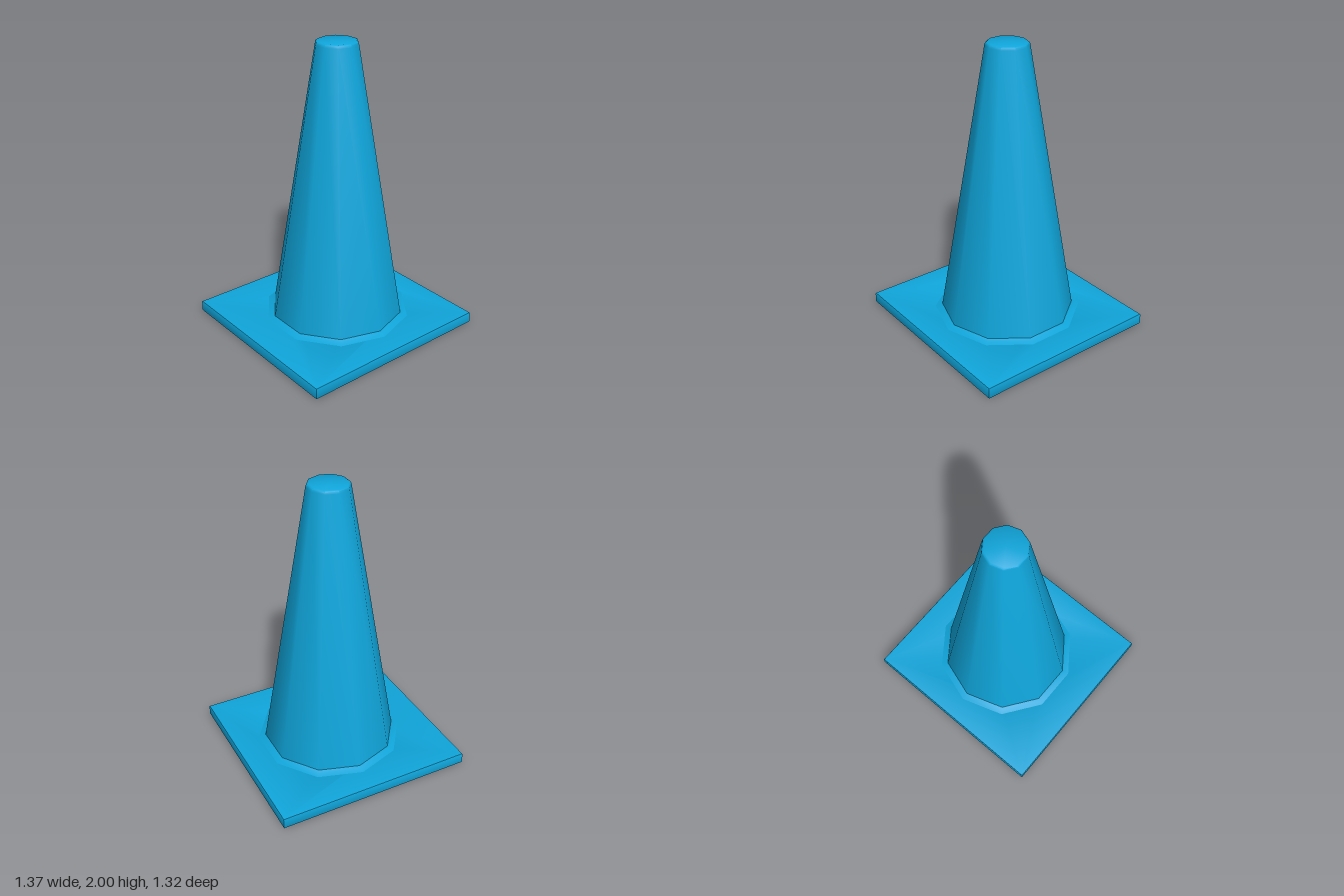
import * as THREE from 'three';
import { toCreasedNormals } from 'three/addons/utils/BufferGeometryUtils.js';

const SIDES = 10;        // cone facets
const CONE_X = 0.02;     // cone sits slightly off the plate centre
const HOLE_R = 0.41;     // opening under the plate
const PLATE_H = 0.08;

export function createModel() {
  const group = new THREE.Group();
  group.name = 'trafficCone';
  const material = new THREE.MeshStandardMaterial({ color: 0x0fa5da });

  const add = (name, geometry, x = 0) => {
    const mesh = new THREE.Mesh(geometry, material);
    mesh.name = name;
    mesh.position.x = x;
    group.add(mesh);
  };
  // ten-sided turned surface, smooth around the sides and sharp at the caps
  const turned = (points) => toCreasedNormals(
    new THREE.LatheGeometry(points.map(([r, y]) => new THREE.Vector2(r, y)), SIDES), 0.75);

  // base plate with a ten-sided opening and slightly softened edges
  const w = 0.685, d = 0.66, bevel = 0.008;
  const outline = new THREE.Shape([[-w, -d], [w, -d], [w, d], [-w, d]]
    .map(([x, y]) => new THREE.Vector2(x, y)));
  const hole = [];
  for (let i = 0; i < SIDES; i++) {
    const a = Math.PI / 2 - (i / SIDES) * Math.PI * 2;
    hole.push(new THREE.Vector2(CONE_X + HOLE_R * Math.cos(a), HOLE_R * Math.sin(a)));
  }
  outline.holes.push(new THREE.Path(hole));
  const plate = new THREE.ExtrudeGeometry(outline, {
    depth: PLATE_H - 2 * bevel, bevelThickness: bevel,
    bevelSize: bevel, bevelOffset: -bevel, bevelSegments: 2,
  });
  plate.translate(0, 0, bevel);
  plate.rotateX(-Math.PI / 2);
  add('basePlate', toCreasedNormals(plate, 0.75));

  // outer cone with a small flare at the foot and a rounded rim on top
  add('coneBody', turned([
    [0.505, PLATE_H], [0.48, 0.088], [0.457, 0.1],
    [0.142, 1.98], [0.138, 1.993], [0.128, 2], [0, 2],
  ]), CONE_X);

  // hollow inside, facing inwards
  add('coneInterior', turned([[0, 1.95], [0.11, 1.95], [HOLE_R, PLATE_H - 0.01]]), CONE_X);

  return group;
}
